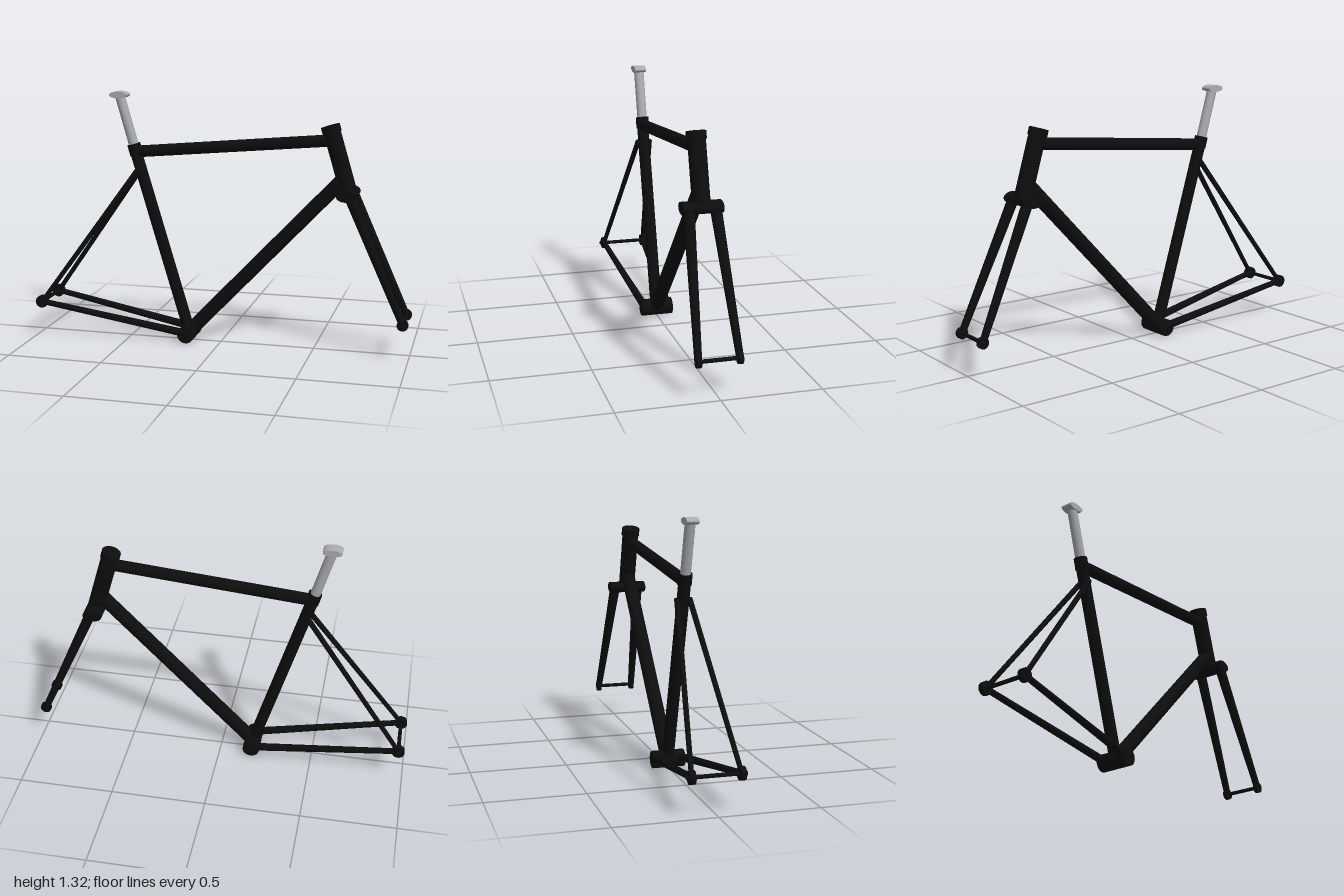
import * as THREE from 'three';

const frameBlack = new THREE.MeshStandardMaterial({ name: 'frameBlack', color: 0x0d0d0d });
const postSilver = new THREE.MeshStandardMaterial({ name: 'postSilver', color: 0xa9acb0 });

const UP = new THREE.Vector3(0, 1, 0);

export function createModel() {
  const bike = new THREE.Group();
  bike.name = 'bicycleFrame';

  // Round tube from a to b, with radius ra at a and rb at b
  function tube(name, a, b, ra, rb = ra, material = frameBlack) {
    const start = new THREE.Vector3(...a);
    const axis = new THREE.Vector3(...b).sub(start);
    const mesh = new THREE.Mesh(new THREE.CylinderGeometry(rb, ra, axis.length(), 24), material);
    mesh.name = name;
    mesh.position.copy(start).addScaledVector(axis, 0.5);
    mesh.quaternion.setFromUnitVectors(UP, axis.normalize());
    bike.add(mesh);
  }

  // Oval bar lying across the frame, centred on z = z
  function crossBar(name, x, y, z, rx, ry, width, material = frameBlack) {
    const geometry = new THREE.CylinderGeometry(1, 1, width, 24).rotateX(Math.PI / 2).scale(rx, ry, 1);
    const mesh = new THREE.Mesh(geometry, material);
    mesh.name = name;
    mesh.position.set(x, y, z);
    bike.add(mesh);
  }

  const bottom = [-0.175, 0.045, 0];
  const seatTop = [-0.467, 1.02, 0];

  // Main triangle
  tube('seatTube', bottom, seatTop, 0.031);
  tube('topTube', [-0.46, 1.007, 0], [0.583, 1.1, 0], 0.031);
  tube('downTube', bottom, [0.635, 0.9, 0], 0.037);
  crossBar('bottomBracketShell', -0.175, 0.045, 0, 0.045, 0.045, 0.168);

  // Head tube and its top cup
  tube('headTube', [0.668, 0.835, 0], [0.576, 1.145, 0], 0.044);
  tube('headsetCup', [0.578, 1.137, 0], [0.567, 1.174, 0], 0.049);

  // Seat collar, post and saddle clamp
  tube('seatCollar', [-0.458, 0.99, 0], [-0.474, 1.047, 0], 0.035);
  tube('seatPost', seatTop, [-0.547, 1.3, 0], 0.026, 0.026, postSilver);
  crossBar('saddleClamp', -0.548, 1.304, 0, 0.048, 0.018, 0.062, postSilver);

  // Fork crown and axles
  crossBar('forkCrown', 0.666, 0.831, 0, 0.05, 0.03, 0.196);
  crossBar('rearAxle', -0.967, 0.188, 0, 0.01, 0.01, 0.292);
  crossBar('frontAxle', 0.968, 0.188, 0, 0.01, 0.01, 0.22);

  // Paired stays, blades and dropouts
  for (const [side, s] of [['left', 1], ['right', -1]].map(([n, v]) => [n, -v])) {
    tube(side + 'ChainStay', [-0.175, 0.05, 0.066 * s], [-0.967, 0.188, 0.12 * s], 0.021, 0.015);
    tube(side + 'SeatStay', [-0.44, 0.92, 0.032 * s], [-0.967, 0.188, 0.12 * s], 0.014, 0.012);
    tube(side + 'ForkBlade', [0.675, 0.84, 0.065 * s], [0.968, 0.188, 0.1 * s], 0.028, 0.018);
    crossBar(side + 'RearDropout', -0.967, 0.188, 0.12 * s, 0.033, 0.033, 0.028);
    crossBar(side + 'FrontDropout', 0.968, 0.188, 0.1 * s, 0.029, 0.029, 0.022);
  }
  return bike;
}
